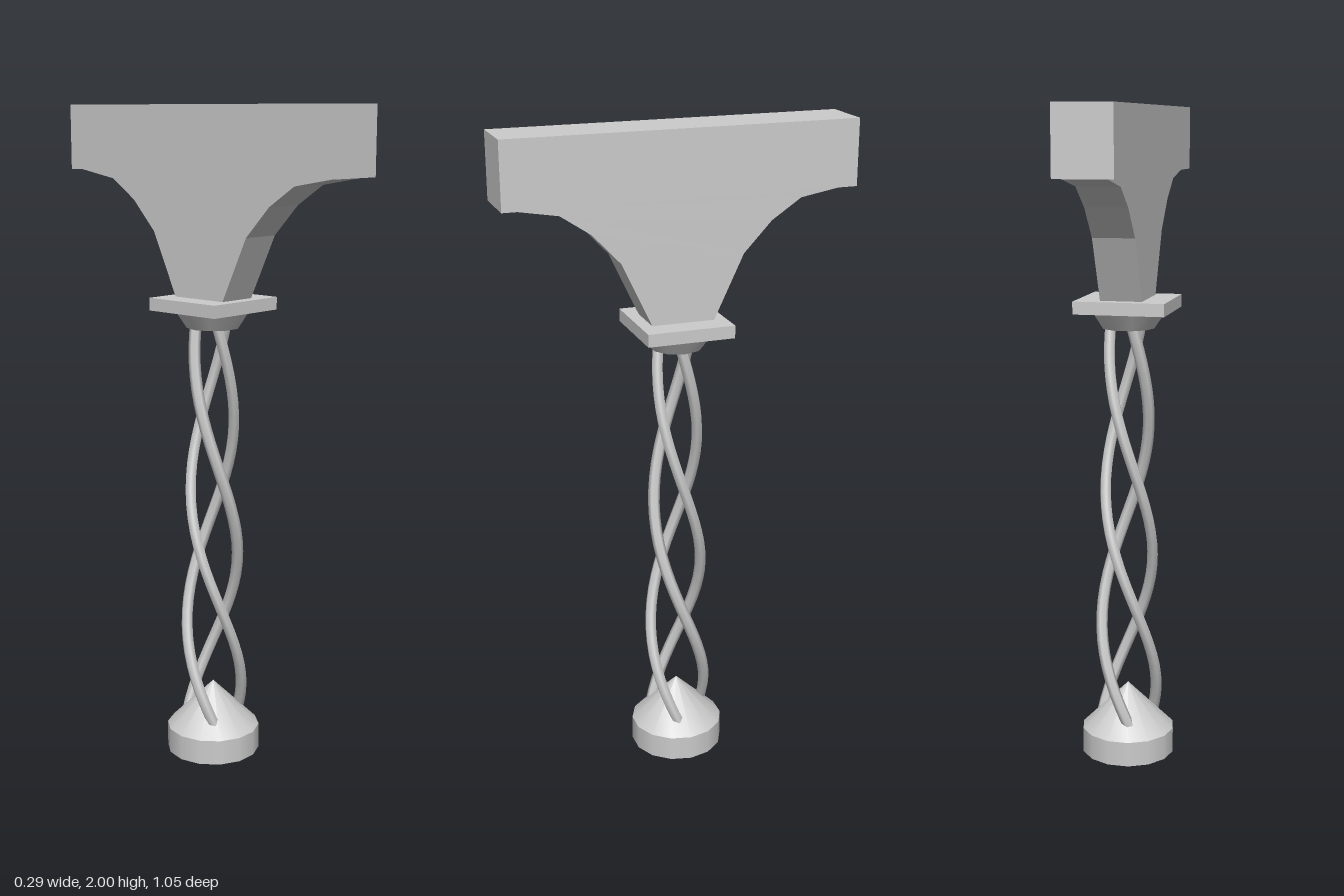
import * as THREE from 'three';

const material = new THREE.MeshStandardMaterial({ color: 0xcccccc, side: THREE.DoubleSide });

function add(group, name, geometry, y = 0) {
  const mesh = new THREE.Mesh(geometry, material);
  mesh.name = name;
  mesh.position.y = y;
  group.add(mesh);
  return mesh;
}

// Helix that rises around the y axis while its radius narrows
class Helix extends THREE.Curve {
  constructor(phase) {
    super();
    this.phase = phase;
  }
  getPoint(t, target = new THREE.Vector3()) {
    const y = THREE.MathUtils.lerp(0.1, 1.37, t);
    const radius = THREE.MathUtils.lerp(0.092, 0.054, t);
    const angle = this.phase + Math.PI + ((y - 0.27) * Math.PI * 2) / 1.29;
    return target.set(radius * Math.cos(angle), y, radius * Math.sin(angle));
  }
}

export function createModel() {
  const model = new THREE.Group();
  model.name = 'twistedPost';

  // Hollow foot: open ring with a cone on top
  const ring = new THREE.CylinderGeometry(0.145, 0.145, 0.078, 14, 1, true).rotateY(Math.PI / 2);
  add(model, 'footRing', ring, 0.039);
  const cone = new THREE.ConeGeometry(0.145, 0.145, 14, 1, true).rotateY(Math.PI / 2);
  add(model, 'footCone', cone, 0.1505);

  // Three intertwined rods
  const rods = new THREE.Group();
  rods.name = 'twistedRods';
  for (let i = 0; i < 3; i++) {
    add(rods, 'rod' + (i + 1), new THREE.TubeGeometry(new Helix((i * Math.PI * 2) / 3), 32, 0.018, 6));
  }
  model.add(rods);

  // Collar and square plate above the rods
  const collar = new THREE.CylinderGeometry(0.115, 0.08, 0.052, 10).rotateY(Math.PI / 2);
  add(model, 'collar', collar, 1.376);
  add(model, 'plate', new THREE.BoxGeometry(0.274, 0.038, 0.264), 1.421);

  // Flared bracket: mirrored profile extruded across x
  const side = [[0.095, 1.44], [0.185, 1.63], [0.27, 1.72], [0.36, 1.78], [0.51, 1.806]];
  const outline = [...side, ...side.map(([z, y]) => [-z, y]).reverse()];
  const shape = new THREE.Shape(outline.map(([z, y]) => new THREE.Vector2(z, y)));
  const bracket = new THREE.ExtrudeGeometry(shape, { depth: 0.126, bevelEnabled: false });
  bracket.translate(0, 0, -0.063).rotateY(Math.PI / 2);
  add(model, 'bracket', bracket);

  // Beam on top, running front to back
  add(model, 'beam', new THREE.BoxGeometry(0.168, 0.195, 1.05), 1.9025);

  return model;
}
